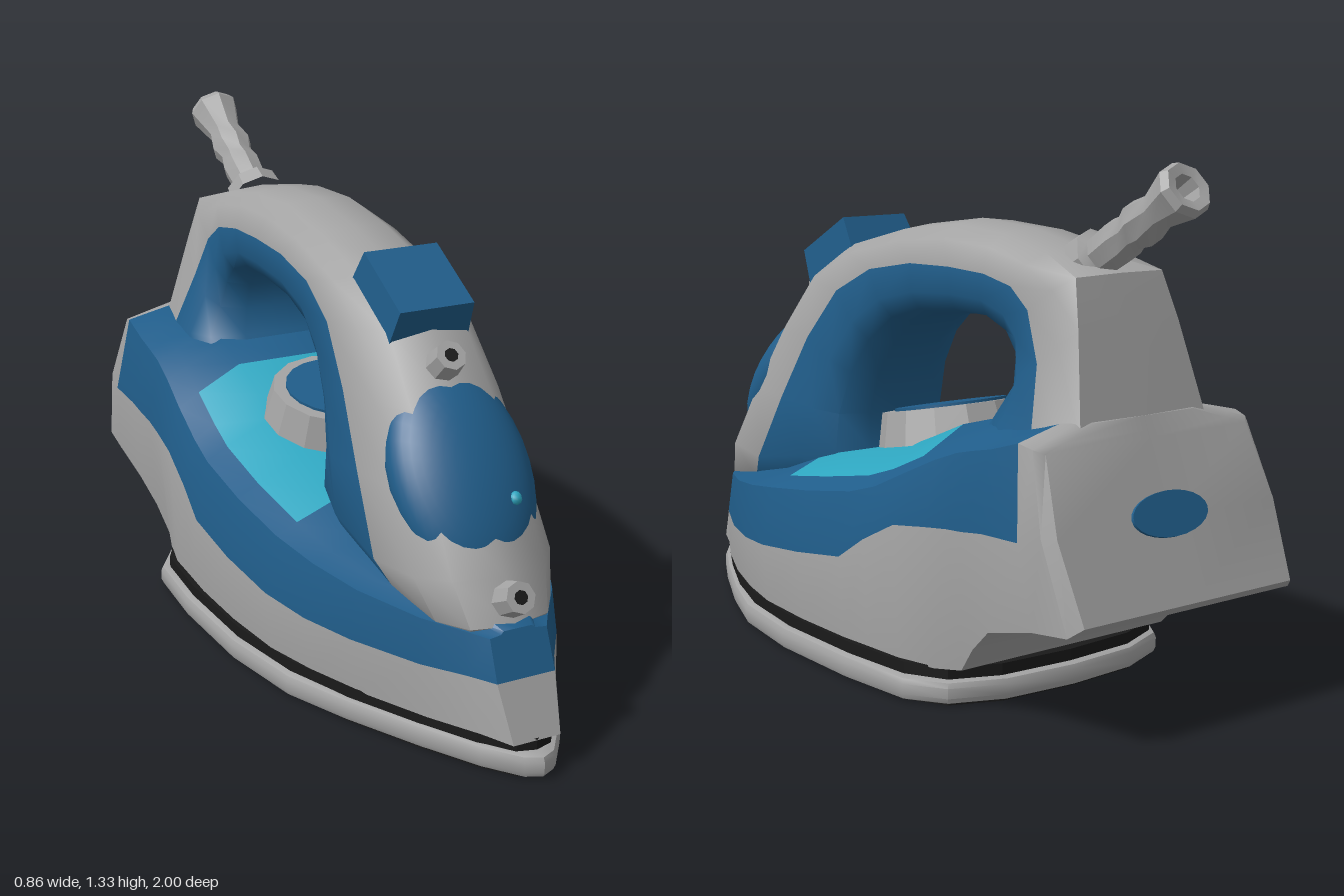
import * as THREE from 'three';
import { toCreasedNormals } from 'three/addons/utils/BufferGeometryUtils.js';

const material = (name, color) => Object.assign(new THREE.MeshStandardMaterial({ color }), { name });
const clamp01 = (t) => THREE.MathUtils.clamp(t, 0, 1);

export function createModel() {
  const grey = material('grey plastic', 0xa4a4a4);
  const blue = material('dark blue plastic', 0x205d8a);
  const cyan = material('clear cyan tank', 0x2ea6c0);
  const black = material('black', 0x1a1a1a);
  const iron = new THREE.Group();
  iron.name = 'steamIron';

  function add(name, geometry, mat, pos = [0, 0, 0], rotX = 0, scale = [1, 1, 1]) {
    const mesh = new THREE.Mesh(geometry, mat);
    mesh.name = name;
    mesh.position.set(...pos);
    mesh.rotation.x = rotX;
    mesh.scale.set(...scale);
    iron.add(mesh);
  }

  // Mirror half a cross-section into a closed ring
  const mirrored = (half) => half.concat(
    half.slice(1, -1).reverse().map((p) => new THREE.Vector3(-p.x, p.y, p.z)));

  // Skin between rings, with a colour picked for each row and strip
  function skin(name, rings, mats, pick, crease) {
    const n = rings[0].length;
    const lists = mats.map(() => []);
    const tri = new THREE.Triangle();
    for (let i = 0; i < rings.length - 1; i++) {
      for (let j = 0; j < n; j++) {
        const k = (j + 1) % n;
        const [a, b, c, d] = [rings[i][j], rings[i][k], rings[i + 1][k], rings[i + 1][j]];
        const list = lists[mats.indexOf(pick(i, Math.min(j, n - 1 - j)))];
        for (const t of [[a, d, c], [a, c, b]]) {
          if (tri.set(...t).getArea() > 1e-7) t.forEach((p) => list.push(p.x, p.y, p.z));
        }
      }
    }
    const geometry = new THREE.BufferGeometry();
    geometry.setAttribute('position', new THREE.Float32BufferAttribute(lists.flat(), 3));
    let start = 0;
    lists.forEach((l, m) => {
      geometry.addGroup(start, l.length / 3, m);
      start += l.length / 3;
    });
    add(name, toCreasedNormals(geometry, crease), mats);
  }

  // Soleplate outline: [z, half width] from nose to heel
  const outline = [[1, 0], [0.985, 0.05], [0.9, 0.115], [0.75, 0.2], [0.55, 0.3], [0.35, 0.375], [0.1, 0.42],
    [-0.2, 0.43], [-0.42, 0.415], [-0.53, 0.355], [-0.585, 0.22], [-0.6, 0]];
  function plate(sx, sz, height, bevel) {
    const half = outline.map(([z, w]) => new THREE.Vector2(
      Math.max(0, w * sx - bevel), -z * sz + (Math.abs(z) > 0.5 ? bevel * Math.sign(z) : 0)));
    const other = half.slice(1, -1).reverse().map((p) => new THREE.Vector2(-p.x, p.y));
    const geometry = new THREE.ExtrudeGeometry(new THREE.Shape([...half, ...other]), {
      depth: height - 2 * bevel, bevelEnabled: bevel > 0, bevelSize: bevel, bevelThickness: bevel, bevelSegments: 2 });
    return geometry.rotateX(-Math.PI / 2).translate(0, bevel, 0);
  }
  add('soleplate', toCreasedNormals(plate(1, 1, 0.062, 0.018), 0.7), grey, [0, 0.003, 0]);
  add('soleplateUnderside', plate(0.955, 0.97, 0.006, 0), black);
  add('gasket', plate(0.95, 0.965, 0.05, 0), black, [0, 0.045, 0]);

  // Body sections: z, half width, then heights of bottom, colour seam, rim and tank
  const body = [
    [0.965, 0.08, 0.09, 0.23, 0.33, 0.34],
    [0.88, 0.12, 0.09, 0.23, 0.335, 0.36],
    [0.75, 0.195, 0.09, 0.23, 0.345, 0.37],
    [0.55, 0.29, 0.09, 0.235, 0.365, 0.4],
    [0.4, 0.345, 0.09, 0.24, 0.385, 0.43],
    [0.25, 0.385, 0.09, 0.255, 0.41, 0.48],
    [0.05, 0.405, 0.09, 0.28, 0.44, 0.525],
    [-0.15, 0.41, 0.09, 0.31, 0.475, 0.57],
    [-0.25, 0.405, 0.09, 0.375, 0.505, 0.61],
    [-0.37, 0.4, 0.09, 0.435, 0.56, 0.66],
    [-0.48, 0.39, 0.09, 0.45, 0.61, 0.69],
    [-0.56, 0.385, 0.1, 0.46, 0.64, 0.71],
    [-0.62, 0.385, 0.17, 0.465, 0.655, 0.715],
    [-0.7, 0.385, 0.235, 0.475, 0.67, 0.72],
    [-0.86, 0.385, 0.275, 0.48, 0.7, 0.74],
    [-0.97, 0.375, 0.285, 0.5, 0.69, 0.74],
    [-1, 0.35, 0.31, 0.5, 0.68, 0.73],
  ];
  const bodyRings = body.map(([z, w, yb, ys, yr, yt]) => {
    // Nose slopes back, rear panel slopes forward
    const lean = 0.41 * (clamp01((-z - 0.6) / 0.4) ** 2 - clamp01((z - 0.5) / 0.46) ** 2);
    const wr = w - 0.22 * w * w;
    // The skirt tucks in around the heel
    const tuck = 0.015 + 0.035 * clamp01(1 - Math.abs(z + 0.56) / 0.15);
    return mirrored([
      [0, yb], [w - tuck, yb], [w, ys], [wr, yr],
      [Math.max(wr - 0.06, wr * 0.6), yr + (yt - yr) * 0.35],
      [Math.min(0.18, wr * 0.5), yt], [0, yt],
    ].map(([x, y]) => new THREE.Vector3(x, y, z + lean * (y - yb))));
  });
  // Close both ends by folding the end section onto the centre line
  const folded = (ring) => ring.map((p) => p.clone().setX(0));
  const closedRings = [folded(bodyRings[0]), ...bodyRings, folded(bodyRings.at(-1))];
  skin('body', closedRings, [grey, blue, cyan], (row, strip) => {
    if (row >= 15 || strip < 2) return grey;
    return row >= 6 && row < 10 && strip >= 4 ? cyan : blue;
  }, 0.6);

  // Handle sections: outer z y, colour seam z y, inner z y, half width
  const handle = [
    [0.78, 0.25, 0.6, 0.28, 0.1, 0.35, 0.1],
    [0.85, 0.34, 0.6, 0.35, 0.12, 0.42, 0.18],
    [0.8, 0.45, 0.53, 0.43, 0.14, 0.5, 0.215],
    [0.69, 0.62, 0.42, 0.62, 0.15, 0.6, 0.205],
    [0.56, 0.8, 0.31, 0.8, 0.12, 0.71, 0.19],
    [0.42, 0.96, 0.19, 0.94, 0.06, 0.8, 0.175],
    [0.25, 1.06, 0.05, 1.01, -0.02, 0.87, 0.165],
    [0, 1.125, -0.12, 1.04, -0.13, 0.905, 0.16],
    [-0.22, 1.155, -0.28, 1.045, -0.28, 0.92, 0.16],
    [-0.42, 1.145, -0.42, 1.04, -0.4, 0.92, 0.16],
    [-0.6, 1.11, -0.53, 1.02, -0.48, 0.89, 0.165],
    [-0.74, 1.06, -0.6, 0.97, -0.52, 0.84, 0.17],
    [-0.775, 0.94, -0.66, 0.85, -0.525, 0.77, 0.19],
    [-0.835, 0.7, -0.7, 0.7, -0.49, 0.7, 0.24],
    [-0.87, 0.58, -0.76, 0.5, -0.4, 0.6, 0.27],
  ];
  const handleRings = handle.map(([oz, oy, bz, by, iz, iy, w]) => {
    const O = new THREE.Vector3(0, oy, oz), B = new THREE.Vector3(0, by, bz), I = new THREE.Vector3(0, iy, iz);
    const at = (from, t, x) => from.clone().lerp(B, t).setX(x * w);
    // Round over the top, flat down the rear panel
    const flat = clamp01((-0.55 - oz) / 0.22);
    return mirrored([at(I, 0, 0), at(I, 0, 0.45), at(I, 0.12, 0.85), at(I, 0.45, 1), at(B, 0, 1),
      at(O, 0.4, 0.9 + 0.08 * flat), at(O, 0.1 - 0.08 * flat, 0.6 + 0.25 * flat), at(O, 0, 0)]);
  });
  skin('handle', handleRings, [grey, blue], (row, strip) => (strip < 4 ? blue : grey), 0.9);

  // Thumb button: a block with a narrower top
  const button = new THREE.BoxGeometry(0.23, 0.14, 0.24);
  const p = button.attributes.position;
  for (let i = 0; i < p.count; i++) {
    if (p.getY(i) > 0) p.setXYZ(i, p.getX(i) * 0.9, p.getY(i), p.getZ(i) * 0.92);
  }
  button.computeVertexNormals();
  add('steamButton', button, blue, [0, 1.015, 0.32], 0.5);

  // Oval window on the front column
  add('frontWindow', new THREE.SphereGeometry(1, 32, 20), blue, [0, 0.629, 0.576], 0.964, [0.19, 0.11, 0.29]);
  add('windowDot', new THREE.SphereGeometry(0.018, 8, 6), cyan, [0.08, 0.6, 0.704]);

  // Small knob and spray nozzle, each with a dark opening
  for (const [name, y, z, tilt] of [['sprayKnob', 0.895, 0.49, 0.85], ['sprayNozzle', 0.405, 0.835, 1.1]]) {
    const knob = new THREE.Group();
    const shell = new THREE.Mesh(
      toCreasedNormals(new THREE.CylinderGeometry(0.04, 0.048, 0.085, 8), 0.5), grey);
    const opening = new THREE.Mesh(new THREE.CylinderGeometry(0.018, 0.018, 0.006, 8), black);
    shell.name = name + 'Shell';
    opening.name = name + 'Opening';
    opening.position.y = 0.042;
    knob.add(shell, opening);
    knob.name = name;
    knob.position.set(0, y, z);
    knob.rotation.x = tilt;
    iron.add(knob);
  }

  // Temperature dial under the handle
  add('dial', toCreasedNormals(new THREE.CylinderGeometry(0.185, 0.205, 0.09, 14), 0.3), grey, [0, 0.605, -0.1], 0.2);
  add('dialTop', new THREE.CylinderGeometry(0.15, 0.15, 0.008, 20), blue, [0, 0.652, -0.09], 0.2);

  // Cord guard: collar, ribbed sleeve and hollow flared end
  const sleeve = [[0.08, -0.02], [0.075, 0.025], [0.052, 0.035], [0.056, 0.11], [0.046, 0.15], [0.06, 0.19],
    [0.046, 0.25], [0.072, 0.345], [0.062, 0.365], [0.036, 0.36], [0.03, 0.3], [0, 0.3]];
  add('cordGuard', toCreasedNormals(new THREE.LatheGeometry(
    sleeve.map(([r, h]) => new THREE.Vector2(r, h)), 8), 0.6), grey, [0, 1.08, -0.65], -1.007);

  // Oval badge on the rear panel
  add('rearBadge', new THREE.CylinderGeometry(1, 1, 1, 24), blue, [0, 0.51, -0.92], -1.18, [0.12, 0.012, 0.055]);

  return iron;
}
